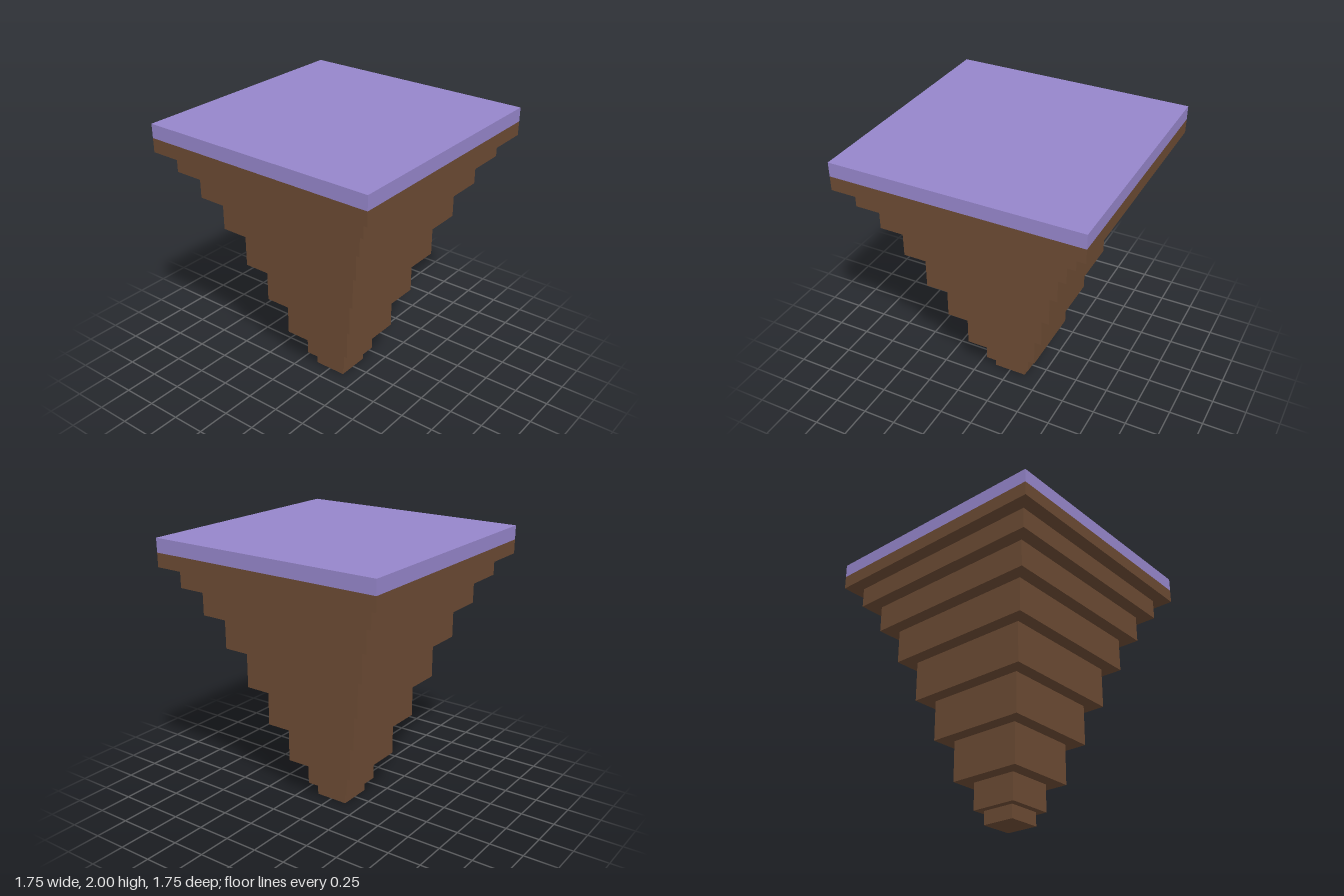
import * as THREE from 'three';

export function createModel() {
  const group = new THREE.Group();
  group.name = 'floatingIsland';

  const soil = new THREE.MeshStandardMaterial({ color: 0x6b4a33 });
  soil.name = 'soilBrown';
  const turf = new THREE.MeshStandardMaterial({ color: 0x9585ca });
  turf.name = 'turfPurple';

  // Square slab between two heights
  function addSlab(name, halfWidth, bottom, top, material) {
    const geometry = new THREE.BoxGeometry(halfWidth * 2, top - bottom, halfWidth * 2);
    const mesh = new THREE.Mesh(geometry, material);
    mesh.name = name;
    mesh.position.y = (bottom + top) / 2;
    group.add(mesh);
  }

  // Inverted stepped pyramid of soil: [half width, top height]
  const steps = [
    [0.125, 0.1], [0.175, 0.3], [0.275, 0.6],
    [0.375, 0.9], [0.475, 1.2], [0.575, 1.45],
    [0.675, 1.65], [0.775, 1.8], [0.875, 1.9],
  ];
  let bottom = 0;
  steps.forEach(([halfWidth, top], i) => {
    addSlab(`soilStep${i + 1}`, halfWidth, bottom, top, soil);
    bottom = top;
  });

  // Coloured ground layer on top
  addSlab('turfLayer', 0.875, bottom, 2, turf);

  return group;
}
